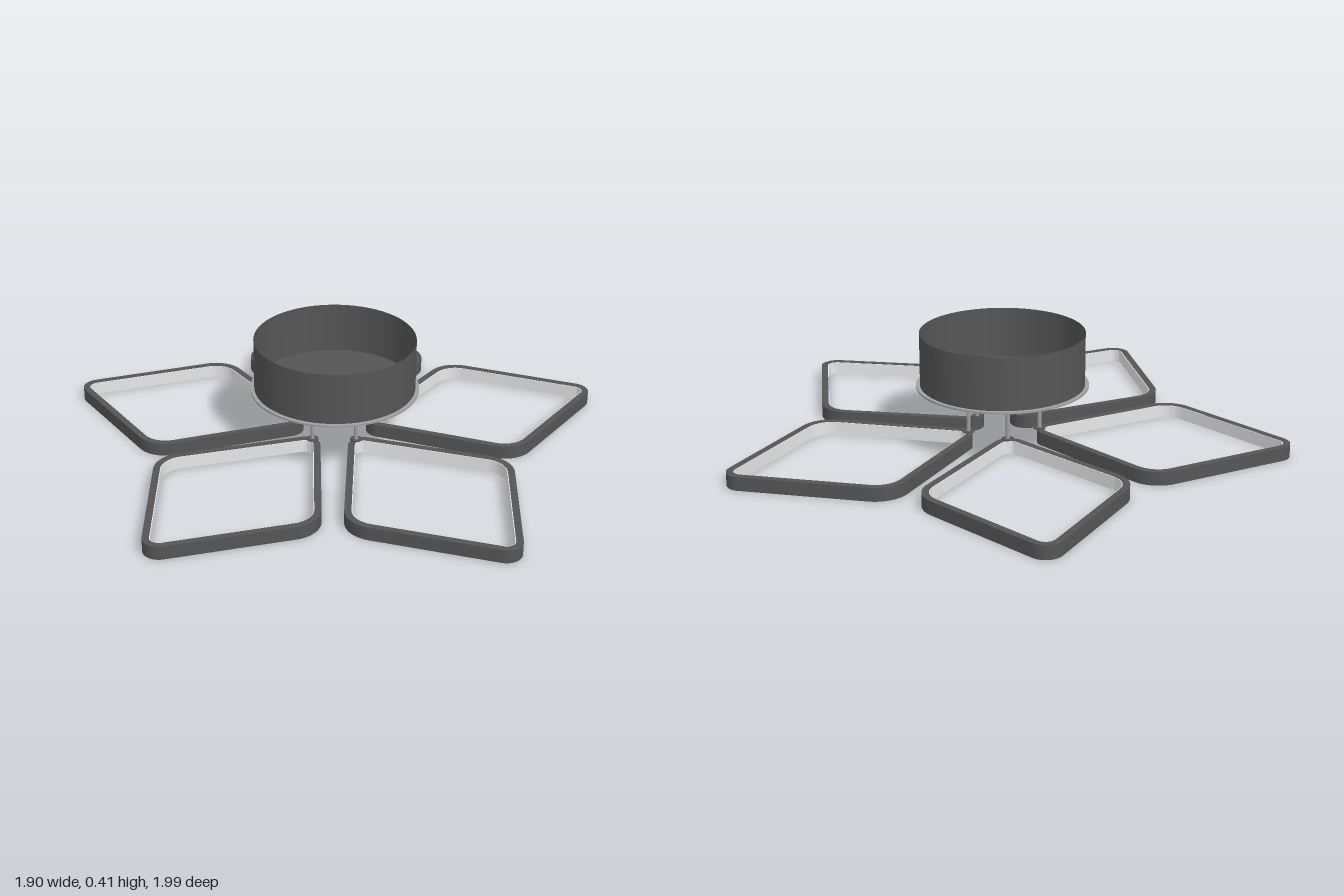
import * as THREE from 'three';
import { toCreasedNormals } from 'three/addons/utils/BufferGeometryUtils.js';

const CENTRE_X = 0.09;
const PETAL_H = 0.05;
const MID = 0.585; // distance from the axis to the middle of a petal
const A = Math.atan2(0.38, 0.495); // slope of the petal sides

// Rounded diamond, moved inwards by d, with concentric corner arcs
function traceDiamond(path, d) {
  const n = Math.PI / 2 - A;
  const tipC = 0.495 - 0.06 / Math.sin(A), sideC = 0.38 - 0.116 / Math.cos(A);
  path.absarc(MID + tipC, 0, 0.06 - d, -n, n, false);
  path.absarc(MID, sideC, 0.116 - d, n, Math.PI - n, false);
  path.absarc(MID - tipC, 0, 0.06 - d, Math.PI - n, Math.PI + n, false);
  path.absarc(MID, -sideC, 0.116 - d, Math.PI + n, 2 * Math.PI - n, false);
  path.closePath();
  return path;
}

// Extruded diamond band lying flat
function diamondBand(outer, inner, y, height) {
  const shape = traceDiamond(new THREE.Shape(), outer);
  shape.holes.push(traceDiamond(new THREE.Path(), inner));
  const g = new THREE.ExtrudeGeometry(shape, { depth: height, bevelEnabled: false, curveSegments: 8 });
  g.rotateX(-Math.PI / 2);
  g.translate(0, y, 0);
  return toCreasedNormals(g, Math.PI / 5);
}

export function createModel() {
  const model = new THREE.Group();
  model.name = 'petalCeilingLamp';

  const dark = new THREE.MeshStandardMaterial({ name: 'dark grey metal', color: 0x555555, side: THREE.DoubleSide });
  const steel = new THREE.MeshStandardMaterial({ name: 'light steel', color: 0xa0a0a0 });
  const white = new THREE.MeshStandardMaterial({ name: 'white diffuser', color: 0xf0f0f0 });

  const add = (parent, name, geometry, material, x = 0, y = 0) => {
    const mesh = new THREE.Mesh(geometry, material);
    mesh.name = name;
    mesh.position.set(x, y, 0);
    parent.add(mesh);
  };

  const lamp = new THREE.Group();
  lamp.name = 'lamp';
  lamp.position.x = CENTRE_X;
  model.add(lamp);

  // Canopy: open cup standing on a thin flange
  add(lamp, 'canopyWall', new THREE.CylinderGeometry(0.3, 0.3, 0.195, 64, 1, true), dark, 0, 0.3145);
  add(lamp, 'canopyFloor', new THREE.CylinderGeometry(0.299, 0.299, 0.004, 64), dark, 0, 0.218);
  add(lamp, 'canopyFlange', new THREE.CylinderGeometry(0.314, 0.314, 0.007, 64), steel, 0, 0.2135);

  // Five petals, each hung from one rod
  const frame = diamondBand(0, 0.025, 0, PETAL_H);
  const diffuser = diamondBand(0.0245, 0.028, 0.001, PETAL_H - 0.002);
  const rod = new THREE.CylinderGeometry(0.0075, 0.0075, 0.16, 12);
  const foot = new THREE.CylinderGeometry(0.022, 0.022, 0.004, 20);
  for (let i = 0; i < 5; i++) {
    const petal = new THREE.Group();
    petal.name = 'petal' + (i + 1);
    petal.rotation.y = Math.PI + (i * 2 * Math.PI) / 5;
    add(petal, 'petalFrame', frame, dark);
    add(petal, 'petalDiffuser', diffuser, white);
    add(petal, 'rod', rod, steel, 0.137, 0.13);
    add(petal, 'rodFoot', foot, dark, 0.137, PETAL_H + 0.002);
    lamp.add(petal);
  }
  return model;
}
